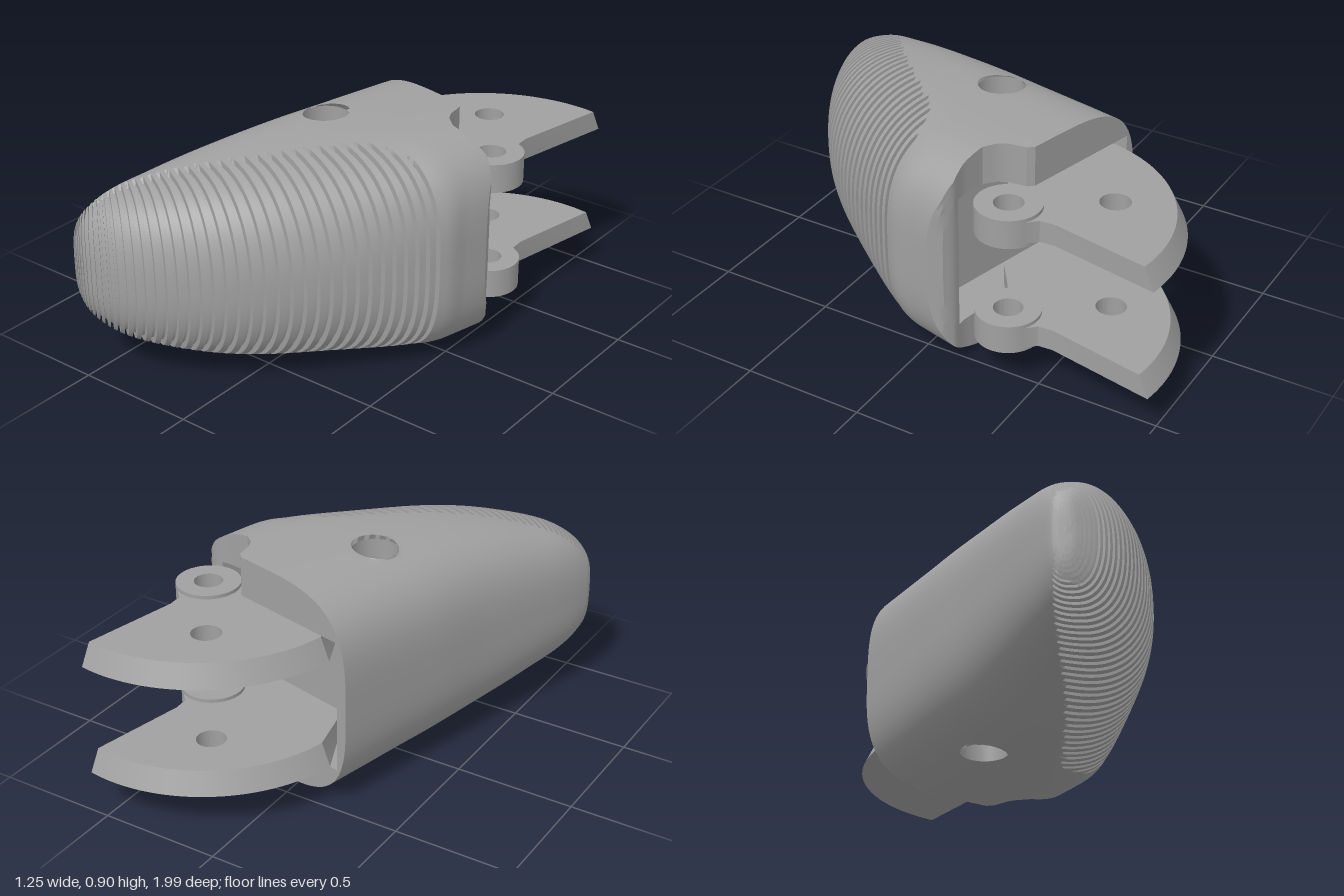
import * as THREE from 'three';
import { toCreasedNormals } from 'three/addons/utils/BufferGeometryUtils.js';

const MID = 0.45;                       // height of the symmetry plane
const AX = 0.972, AZ = 0.235;           // across-the-finger direction
const lerp = THREE.MathUtils.lerp, clamp = THREE.MathUtils.clamp;
const step = THREE.MathUtils.smoothstep;
const COLS = 128;
const HOLE = { x: -0.09, z: 0.015, r: 0.095 };
const KNUCKLE = { x: 0.46, y: 0.34 };   // y is -z in the plate outlines

// local finger coordinates: s runs to the tip, t runs across
const toLocal = (x, z) => [AX * z - AZ * x, AX * x + AZ * z];
const toWorld = (s, t, y) => new THREE.Vector3(AX * t - AZ * s, y, AZ * t + AX * s);

// sections of the body: back edge x, z; pad edge x, z; half height
const sections = [
  [-0.27, -0.49, 0.665, -0.264, 0.45], [-0.315, -0.313, 0.622, -0.087, 0.45],
  [-0.365, -0.12, 0.575, 0.1, 0.448], [-0.41, 0.05, 0.455, 0.31, 0.44],
  [-0.46, 0.25, 0.295, 0.53, 0.42], [-0.515, 0.44, 0.105, 0.73, 0.385],
  [-0.56, 0.59, -0.1, 0.878, 0.34], [-0.598, 0.72, -0.3, 0.968, 0.29],
  [-0.623, 0.82, -0.46, 0.99, 0.22], [-0.63, 0.885, -0.565, 0.96, 0.13],
  [-0.6, 0.93, -0.6, 0.93, 0],
];
const N = sections.length - 1;
const curve = (f) => new THREE.CatmullRomCurve3(sections.map(f), false, 'catmullrom', 0.5);
const backEdge = curve((p) => new THREE.Vector3(p[0], 0, p[1]));
const padEdge = curve((p) => new THREE.Vector3(p[2], p[4], p[3]));

// open end of the body, with the round notch for the knuckle
const mouth = [[-1, -0.413], [0.219, -0.413], [0.235, -0.345], [0.27, -0.295], [0.327, -0.264],
  [0.43, -0.268], [0.5, -0.285], [0.55, -0.27], [0.584, -0.223], [1, -0.223]];
function mouthAt(t) {
  const i = Math.max(1, mouth.findIndex((m) => m[0] >= t));
  const [a, b] = [mouth[i - 1], mouth[i]];
  return lerp(a[1], b[1], (t - a[0]) / (b[0] - a[0]));
}

// one ring of the body at section a; groove is the depth cut into the pad
function ring(a, groove) {
  const L = backEdge.getPoint(a / N), P = padEdge.getPoint(a / N), h = Math.max(0, P.y);
  const padStart = a < 2.6 ? lerp(0.93, 0.68, clamp((a - 2) / 0.6, 0, 1)) : lerp(0.68, 0.2, (a - 2.6) / 5.4);
  const nPad = lerp(3.6, 2.3, step(a, 1, 4)), nBack = lerp(3.4, 2.4, a / N);
  const half = Math.hypot(P.x - L.x, P.z - L.z) / 2;
  return Array.from({ length: COLS + 1 }, (_, j) => {
    const f = (j % COLS) / COLS * Math.PI * 2, c = Math.cos(f), k = Math.sin(f);
    const n = c > 0 ? nPad : nBack;
    let r = (Math.abs(c) ** n + Math.abs(k) ** n) ** (-1 / n);
    if (groove && (r * c + 1) / 2 > padStart) r -= groove * r / Math.hypot(r * c * half, r * k * h);
    const q = (r * c + 1) / 2;
    let [s, t] = toLocal(lerp(L.x, P.x, q), lerp(L.z, P.z, q));
    if (s < 0) {
      const m = mouthAt(t);
      s = m + (s + 0.413) * (0 - m) / 0.413;
    }
    return toWorld(s, t, MID + h * r * k);
  });
}

// skin over rings; a round opening can be cut in its top and bottom
function skin(rings, hole, crease = 0.6) {
  const pos = [];
  const inside = (v) => hole && Math.abs(v.y - MID) > 0.3 && Math.hypot(v.x - hole.x, v.z - hole.z) < hole.r;
  const add = (...tri) => {
    if (tri.every(inside)) return;
    for (const v of tri) {
      if (inside(v)) {
        const g = Math.atan2(v.z - hole.z, v.x - hole.x);
        pos.push(hole.x + hole.r * Math.cos(g), v.y, hole.z + hole.r * Math.sin(g));
      } else pos.push(v.x, v.y, v.z);
    }
  };
  for (let i = 0; i < rings.length - 1; i++) {
    for (let j = 0; j < COLS; j++) {
      const a = rings[i][j], b = rings[i][j + 1], c = rings[i + 1][j], d = rings[i + 1][j + 1];
      add(a, b, c);
      add(b, d, c);
    }
  }
  const g = new THREE.BufferGeometry();
  g.setAttribute('position', new THREE.Float32BufferAttribute(pos, 3));
  return toCreasedNormals(g, crease);
}

function circle(x, y, r) {
  return new THREE.Path().absarc(x, y, r, 0, Math.PI * 2, true);
}

// flat part from an outline in x, -z
function slab(shape, height) {
  return new THREE.ExtrudeGeometry(shape, { depth: height, bevelEnabled: false, curveSegments: 40 }).rotateX(-Math.PI / 2);
}

// quarter-round hinge plate with a sloped outer rim
function plateGeometry() {
  const { x, y } = KNUCKLE, shape = new THREE.Shape();
  shape.absarc(x, y, 0.66, 1.4, 2.94, false);
  shape.lineTo(-0.1, 0.27);
  shape.lineTo(0.2, 0.17);
  shape.lineTo(0.31, 0.25);
  shape.absarc(x, y, 0.13, 3.7, 1.0 + Math.PI * 2, false);
  shape.lineTo(0.492, 0.49);
  shape.lineTo(0.488, 0.55);
  shape.holes.push(circle(x, y, 0.058), circle(0.235, 0.665, 0.06));
  const g = slab(shape, 0.09), p = g.attributes.position;
  for (let i = 0; i < p.count; i++) {
    const dx = p.getX(i) - x, dz = p.getZ(i) + y;
    if (p.getY(i) > 0.05 && Math.hypot(dx, dz) > 0.65) {
      p.setX(i, x + dx * 0.935);
      p.setZ(i, -y + dz * 0.935);
    }
  }
  return toCreasedNormals(g, 0.5);
}

export function createModel() {
  const group = new THREE.Group();
  const grey = new THREE.MeshStandardMaterial({ color: 0xa0a0a0 });
  grey.name = 'grey';
  const greyInside = grey;
  greyInside.side = THREE.DoubleSide;
  const add = (name, geometry, y = 0) => {
    const m = new THREE.Mesh(geometry, grey);
    m.name = name;
    m.position.y = y;
    group.add(m);
    return m;
  };

  // body with ribbed pad
  const rings = [];
  for (let i = 0; i < 16; i++) rings.push(ring(i / 16 * 2.1, 0));
  const teeth = 40, from = 2.1, to = 9.4;
  for (let i = 0; i < teeth; i++) {
    for (const [f, d] of [[0, 0], [0.52, 0], [0.56, 0.022], [0.96, 0.022]]) {
      rings.push(ring(lerp(from, to, (i + f) / teeth), d));
    }
  }
  for (const a of [9.4, 9.6, 9.75, 9.88, 9.96, 10]) rings.push(ring(a, 0));
  add('fingerBody', skin(rings, HOLE));

  // rim of the open end and the cavity behind it
  const local = rings[0].map((v) => [toLocal(v.x, v.z)[1], v.y - MID]);
  const inner = local.map(([t, y]) => [clamp(t, -0.33, 0.47), clamp(y, -0.282, 0.282)]);
  const cavity = [local.map(() => toWorld(-0.1, 0.07, MID)), inner.map(([t, y]) => toWorld(-0.1, t, MID + y))];
  for (let k = 0; k <= 6; k++) {
    cavity.push(inner.map(([t, y], j) => {
      const w = k / 6, tt = lerp(t, local[j][0], w);
      return toWorld(mouthAt(tt), tt, MID + lerp(y, local[j][1], w));
    }));
  }
  add('cavityAndRim', skin(cavity, null, 0.5));

  // stepped screw hole through the body
  const R = HOLE.r, bore = [[R, 0.874], [R, 0.74], [0.04, 0.74], [0.04, 0.16], [R, 0.16], [R, 0.026]];
  const hole = add('screwHole', toCreasedNormals(
    new THREE.LatheGeometry(bore.map(([x, y]) => new THREE.Vector2(x, y)), 40), 0.5));
  hole.position.set(HOLE.x, 0, HOLE.z);

  // upper and lower hinge plates with raised knuckle rings
  const boss = new THREE.Shape().absarc(KNUCKLE.x, KNUCKLE.y, 0.13, 0, Math.PI * 2, false);
  boss.holes.push(circle(KNUCKLE.x, KNUCKLE.y, 0.058));
  const plate = plateGeometry(), bossGeometry = toCreasedNormals(slab(boss, 0.12), 0.5);
  for (const [name, y] of [['upper', 0.64], ['lower', 0.17]]) {
    add(name + 'HingePlate', plate, y);
    add(name + 'Knuckle', bossGeometry, y - 0.015);
  }

  // small drilled lug inside the cavity
  const lug = new THREE.Shape([[-0.06, -0.07], [0.06, -0.07], [0.06, 0.07], [-0.06, 0.07]].map((p) => new THREE.Vector2(...p)));
  lug.holes.push(circle(0, 0, 0.025));
  const lugMesh = add('tendonLug', new THREE.ExtrudeGeometry(lug, { depth: 0.2, bevelEnabled: false }));
  lugMesh.position.copy(toWorld(-0.3, -0.27, MID));
  lugMesh.rotation.y = -Math.atan2(AZ, AX);
  return group;
}
